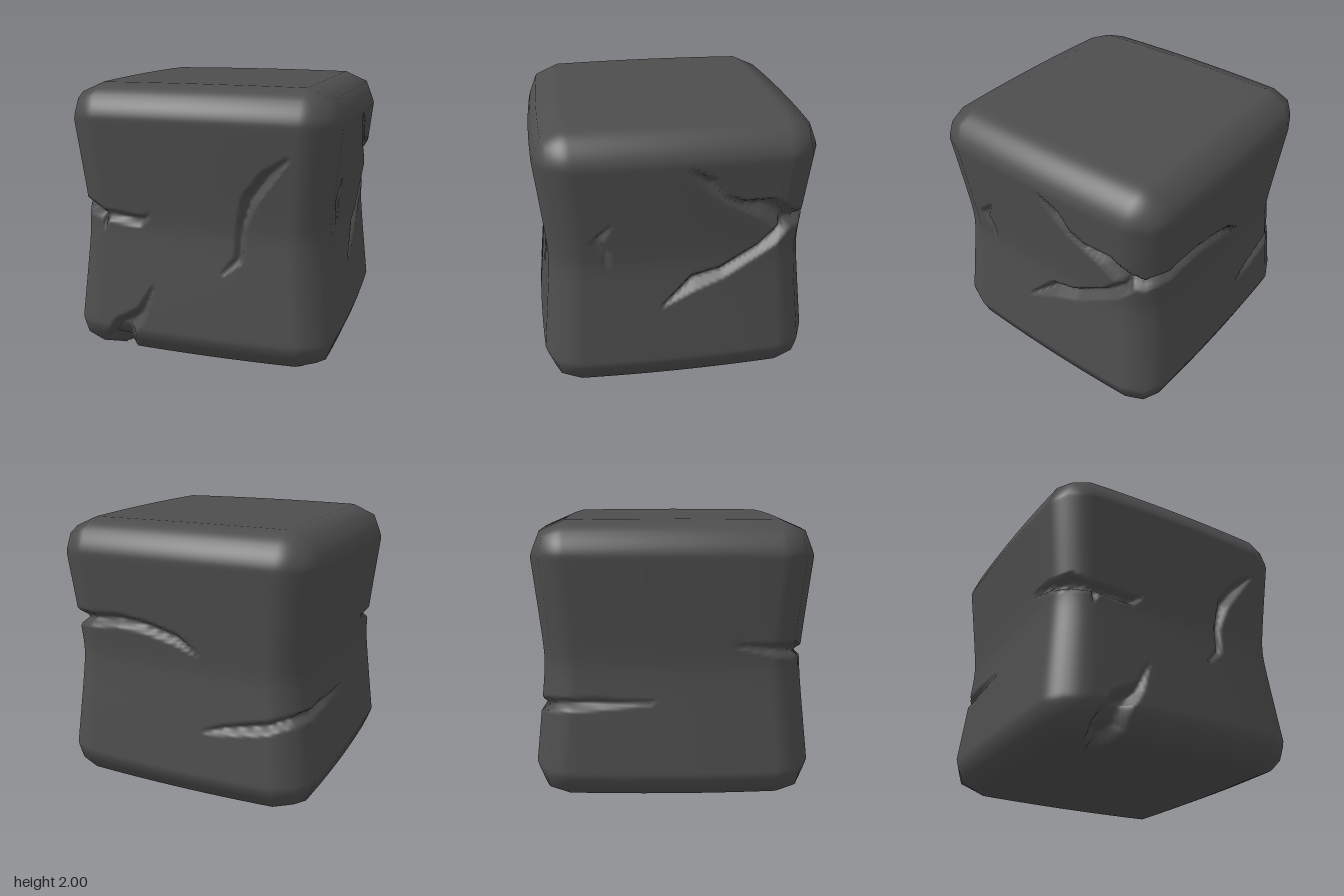
import * as THREE from 'three';
import { mergeVertices } from 'three/addons/utils/BufferGeometryUtils.js';

const CORE = 0.75, RADIUS = 0.25;

// Each crack is a path on the sides of a unit cube: [across, height, half width].
const onFront = ([a, y, w]) => ({ p: new THREE.Vector3(a, y - 1, 1), w });
const onBack = ([a, y, w]) => ({ p: new THREE.Vector3(a, y - 1, -1), w });
const onLeft = ([a, y, w]) => ({ p: new THREE.Vector3(1, y - 1, a), w });
const onRight = ([a, y, w]) => ({ p: new THREE.Vector3(-1, y - 1, a), w });
const onBase = ([x, z, w]) => ({ p: new THREE.Vector3(x, -1, z), w });

const cracks = [
  // tall front crack
  [[0.7, 1.55, 0.015], [0.56, 1.42, 0.055], [0.44, 1.26, 0.06], [0.38, 1.05, 0.035],
    [0.36, 0.83, 0.032], [0.25, 0.73, 0.015]].map(onFront),
  // front waist crack, running round the corner
  [...[[-0.37, 1.08, 0.015], [-0.45, 1.04, 0.04], [-0.63, 1.055, 0.04], [-0.8, 1.07, 0.04],
    [-1, 1.1, 0.06]].map(onFront),
  ...[[0.75, 1.12, 0.04], [0.45, 1.16, 0.01]].map(onRight)],
  [[-0.76, 1.04, 0.045], [-0.78, 0.95, 0.01]].map(onFront),
  // chipped front bottom edge
  [...[[-0.33, 0.55, 0.015], [-0.41, 0.36, 0.045], [-0.55, 0.22, 0.1], [-0.6, 0, 0.13]].map(onFront),
    ...[[-0.6, 0.85, 0.1], [-0.6, 0.7, 0.02]].map(onBase)],
  // forked crack: upper branch and its continuation over the back
  [...[[-0.05, 1.73, 0.012], [-0.2, 1.62, 0.045], [-0.3, 1.51, 0.025], [-0.42, 1.45, 0.03],
    [-0.65, 1.39, 0.085], [-0.82, 1.28, 0.09], [-1, 1.26, 0.06]].map(onLeft),
  ...[[0.5, 1.3, 0.05], [0.26, 1.28, 0.045], [0, 1.22, 0.04], [-0.2, 1.12, 0.01]].map(onBack)],
  // forked crack: lower branch
  [[0.15, 0.67, 0.012], [-0.1, 0.84, 0.065], [-0.32, 0.9, 0.05], [-0.62, 1.06, 0.05],
    [-0.82, 1.22, 0.08]].map(onLeft),
  // small nick
  [[0.53, 1.34, 0.012], [0.64, 1.22, 0.04], [0.58, 1.12, 0.03], [0.57, 1.01, 0.012]].map(onLeft),
  // low back crack, running round the corner
  [...[[-0.25, 0.58, 0.01], [-0.4, 0.61, 0.035], [-0.68, 0.66, 0.045], [-1, 0.72, 0.045]].map(onBack),
    ...[[-0.6, 0.74, 0.04], [-0.15, 0.75, 0.01]].map(onRight)],
];

// Depth of the V-shaped groove at a point of the unit cube
function crackDepth(p) {
  const ab = new THREE.Vector3(), ap = new THREE.Vector3();
  let depth = 0;
  for (const path of cracks) {
    for (let i = 0; i + 1 < path.length; i++) {
      const a = path[i], b = path[i + 1];
      ab.subVectors(b.p, a.p);
      ap.subVectors(p, a.p);
      const t = THREE.MathUtils.clamp(ap.dot(ab) / ab.lengthSq(), 0, 1);
      const w = a.w + (b.w - a.w) * t;
      depth = Math.max(depth, 1.5 * (w - ap.addScaledVector(ab, -t).length()));
    }
  }
  return Math.min(depth, 0.09);
}

// Direction across the bevel: round, or in two straight facets
function bevelDirection(d, faceted) {
  const round = d.clone().normalize();
  if (!faceted) return round;
  const a = d.toArray(), s = a.map(Math.abs);
  const k = s.indexOf(Math.max(...s)), i = (k + 1) % 3, j = (k + 2) % 3;
  const u = s[i], v = s[j], r2 = Math.SQRT1_2, r3 = 1 / Math.sqrt(3);
  const out = [0, 0, 0];
  out[k] = ((1 - u) * (1 - v) + (u * (1 - v) + v * (1 - u)) * r2 + u * v * r3) * Math.sign(a[k]);
  out[i] = (u * (1 - v) * r2 + u * v * r3) * Math.sign(a[i]);
  out[j] = (v * (1 - u) * r2 + u * v * r3) * Math.sign(a[j]);
  return new THREE.Vector3(...out);
}

// Bevelled cube with a pinched waist, slightly bulging faces and carved cracks
function shapeBlock(source, faceted) {
  const geometry = source.clone();
  const pos = geometry.attributes.position;
  const p = new THREE.Vector3(), core = new THREE.Vector3();
  for (let i = 0; i < pos.count; i++) {
    p.fromBufferAttribute(pos, i);
    core.copy(p).clampScalar(-CORE, CORE);
    const d = p.clone().sub(core).divideScalar(RADIUS);
    const depth = crackDepth(p);
    const q = core.clone().addScaledVector(bevelDirection(d, faceted), RADIUS);
    const { x, y, z } = q;
    const waist = Math.min(1, 0.916 + 0.105 * Math.hypot(y, 0.1));
    q.set(x * waist * (1 - 0.03 * z * z), y * (1 - 0.01 * (x * x + z * z)), z * waist * (1 - 0.03 * x * x));
    q.addScaledVector(d.normalize(), -depth);
    pos.setXYZ(i, q.x, q.y + 1, q.z);
  }
  geometry.computeVertexNormals();
  return geometry;
}

export function createModel() {
  const stone = new THREE.MeshStandardMaterial({ color: 0x4d4d4d });
  stone.name = 'darkStone';

  const cube = new THREE.BoxGeometry(2, 2, 2, 96, 96, 96);
  cube.deleteAttribute('normal');
  cube.deleteAttribute('uv');
  const grid = mergeVertices(cube);

  // Faceted outline shaded with the normals of the round one
  const geometry = shapeBlock(grid, true);
  geometry.setAttribute('normal', shapeBlock(grid, false).attributes.normal);

  const block = new THREE.Mesh(geometry, stone);
  block.name = 'crackedStoneBlock';
  const model = new THREE.Group();
  model.name = 'stoneBlock';
  model.add(block);
  return model;
}
